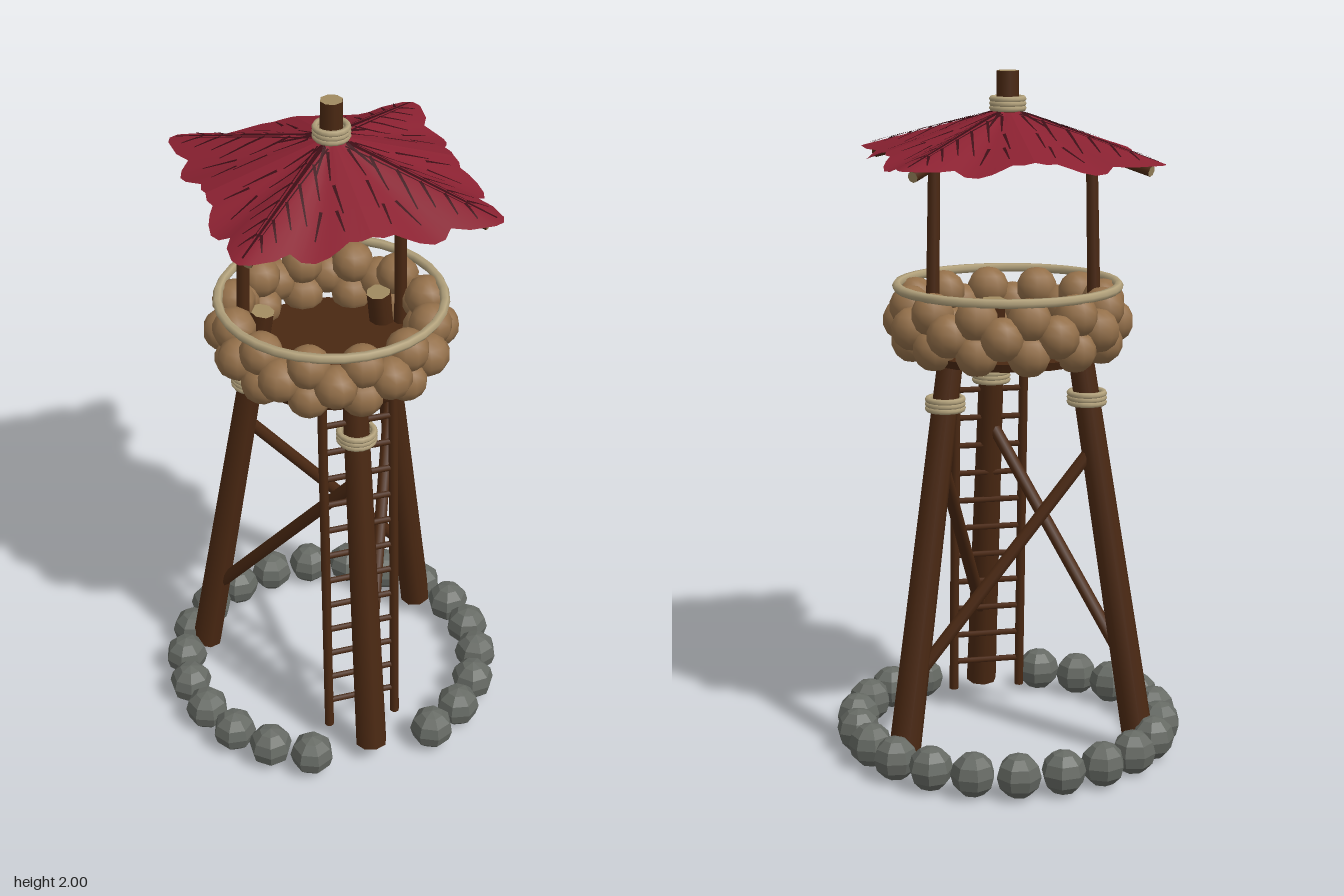
import * as THREE from 'three';

const mat = (name, color, extra = {}) => Object.assign(new THREE.MeshStandardMaterial({ color, ...extra }), { name });

export function createModel() {
  const wood = mat('dark wood', 0x4a2812);
  const cutWood = mat('cut wood', 0xa08a60);
  const rope = mat('rope', 0xb3a27c);
  const husk = mat('brown husk', 0x94704a);
  const stone = mat('grey stone', 0x666a64, { flatShading: true });
  const leafRed = mat('red leaf', 0x8a2131, { side: THREE.DoubleSide });
  const veinRed = mat('dark vein', 0x3c0d15, { side: THREE.DoubleSide });

  const model = new THREE.Group();
  model.name = 'watchtower';
  const tower = new THREE.Group();
  tower.name = 'tower';
  tower.position.set(-0.004, 0, 0.014);
  model.add(tower);

  const V = (x, y, z) => new THREE.Vector3(x, y, z);
  const add = (name, geo, material, parent = tower) => {
    const m = new THREE.Mesh(geo, material);
    m.name = name;
    parent.add(m);
    return m;
  };
  // Round pole between two points
  const rod = (name, a, b, rBottom, rTop, material, sides = 8) => {
    const d = b.clone().sub(a);
    const m = add(name, new THREE.CylinderGeometry(rTop, rBottom, d.length(), sides), material);
    m.position.copy(a).add(b).multiplyScalar(0.5);
    m.quaternion.setFromUnitVectors(V(0, 1, 0), d.normalize());
    return m;
  };
  // Three turns of rope around a pole
  const lashing = (name, pos, radius) => {
    for (let i = -1; i <= 1; i++) {
      const m = add(name, new THREE.TorusGeometry(radius, 0.009, 6, 16), rope);
      m.rotation.x = Math.PI / 2;
      m.position.set(pos.x, pos.y + i * 0.013, pos.z);
    }
  };
  const capped = [wood, cutWood, cutWood];

  // Three leaning legs; each has one brace rising to the next leg
  const legPoint = (k, y) => {
    const a = Math.PI / 2 + k * Math.PI * 2 / 3;
    const r = 0.405 - (y - 0.05) * 0.162;
    return V(-Math.cos(a) * r, y, Math.sin(a) * r);
  };
  for (let k = 0; k < 3; k++) {
    rod('leg', legPoint(k, 0.05), legPoint(k, 1.31), 0.047, 0.036, capped);
    lashing('legRope', legPoint(k, 1.073), 0.05);
    rod('brace', legPoint(k, 0.27), legPoint(k + 1, 0.93), 0.019, 0.019, wood);
  }

  // Ring of stones with a gap at the front
  const stoneGeo = new THREE.SphereGeometry(0.065, 7, 6);
  for (let i = 0; i < 22; i++) {
    if (i === 5 || i === 6) continue;
    const a = i * Math.PI * 2 / 22;
    const s = add('stone', stoneGeo, stone);
    s.position.set(Math.cos(a) * 0.455, 0.065, Math.sin(a) * 0.455);
    s.rotation.y = -a;
  }

  // Ladder
  const ladderZ = y => 0.303 - (y - 0.06) * 0.063;
  for (const x of [-0.1, 0.108])
    rod('ladderRail', V(x, 0.06, ladderZ(0.06)), V(x, 1.2, ladderZ(1.2)), 0.014, 0.014, wood);
  for (let i = 0; i < 12; i++) {
    const y = 0.15 + i * 0.088;
    rod('ladderRung', V(-0.1, y, ladderZ(y)), V(0.108, y, ladderZ(y)), 0.009, 0.009, wood, 6);
  }

  // Lookout basket: floor, staggered rows of husks, rope rim
  add('floor', new THREE.CylinderGeometry(0.28, 0.27, 0.024, 24), wood).position.y = 1.197;
  const huskGeo = new THREE.SphereGeometry(0.063, 10, 7);
  [[1.236, 0.28, 0], [1.285, 0.302, 0.5], [1.334, 0.284, 0]].forEach(([y, r, shift]) => {
    for (let i = 0; i < 12; i++) {
      const a = (i + shift) * Math.PI / 6;
      const h = add('husk', huskGeo, husk);
      h.position.set(Math.sin(a) * r, y, Math.cos(a) * r);
      h.rotation.y = a;
    }
  });
  const rim = add('basketRim', new THREE.TorusGeometry(0.32, 0.014, 6, 32), rope);
  rim.rotation.x = Math.PI / 2;
  rim.position.y = 1.388;

  // Roof posts, rafters and centre pole
  for (const s of [-1, 1])
    rod('roofPost', V(s * 0.238, 1.2, -0.084), V(s * 0.226, 1.8, -0.078), 0.02, 0.017, wood);
  for (let k = 0; k < 4; k++) {
    const a = Math.PI / 4 + k * Math.PI / 2;
    const c = Math.cos(a), s = Math.sin(a);
    rod('rafter', V(c * 0.02, 1.86, s * 0.02), V(c * 0.468, 1.744, s * 0.468), 0.018, 0.016, capped);
  }
  rod('centrePole', V(0, 1.8, 0), V(0, 2, 0), 0.034, 0.032, capped);
  lashing('poleRope', V(0, 1.908, 0), 0.045);

  // Leaf outline from midrib to valley: angle in degrees, radius, slope
  const outline = [
    [0, 0.51, 0.26], [3, 0.5, 0.265], [9, 0.452, 0.3], [12.5, 0.408, 0.33], [17, 0.418, 0.36],
    [22, 0.414, 0.37], [27, 0.396, 0.365], [31, 0.376, 0.355], [35, 0.354, 0.35], [40, 0.358, 0.345], [45, 0.352, 0.335],
  ];
  const slopeAt = deg => {
    const a = Math.min(45, Math.abs(deg));
    let i = 1;
    while (i < outline.length - 1 && outline[i][0] < a) i++;
    const [p, q] = [outline[i - 1], outline[i]];
    return THREE.MathUtils.lerp(p[2], q[2], (a - p[0]) / (q[0] - p[0]));
  };
  // Point on a leaf: u along its midrib, v across
  const onLeaf = (u, v, lift) => {
    const r = Math.hypot(u, v);
    return [u, 1.895 - slopeAt(THREE.MathUtils.radToDeg(Math.atan2(v, u))) * r + lift, v];
  };
  // Grid surface from rows of points
  const surface = rows => {
    const n = rows[0].length, index = [];
    for (let i = 0; i < rows.length - 1; i++)
      for (let j = 0; j < n - 1; j++) {
        const a = i * n + j, b = a + n;
        index.push(a, a + 1, b, b, a + 1, b + 1);
      }
    const g = new THREE.BufferGeometry();
    g.setAttribute('position', new THREE.Float32BufferAttribute(rows.flat(2), 3));
    g.setIndex(index);
    g.computeVertexNormals();
    return g;
  };
  const mirrored = [...outline.slice(1).reverse().map(([a, r]) => [-a, r]), ...outline];
  const leafGeo = surface([0.06, 0.35, 0.7, 1].map(t => mirrored.map(([deg, r]) => {
    const a = THREE.MathUtils.degToRad(deg);
    return onLeaf(Math.cos(a) * r * t, Math.sin(a) * r * t, 0);
  })).reverse());
  // Narrow tapering vein following the leaf
  const veinGeo = (u0, v0, u1, v1, w) => {
    const L = Math.hypot(u1 - u0, v1 - v0), nu = -(v1 - v0) / L, nv = (u1 - u0) / L;
    const rows = [];
    for (let i = 0; i <= 5; i++) {
      const t = i / 5, h = w * (1 - 0.6 * t) / 2;
      const u = u0 + (u1 - u0) * t, v = v0 + (v1 - v0) * t;
      rows.push([onLeaf(u + nu * h, v + nv * h, 0.005), onLeaf(u - nu * h, v - nv * h, 0.005)]);
    }
    return surface(rows.reverse());
  };
  const sideVeins = [
    [0.05, 0.006, 0.16, 0.035], [0.06, 0.02, 0.14, 0.07], [0.12, 0.01, 0.21, 0.075], [0.15, 0.085, 0.22, 0.15],
    [0.2, 0.01, 0.3, 0.085], [0.24, 0.095, 0.33, 0.125], [0.27, 0.01, 0.34, 0.06],
    [0.34, 0.008, 0.4, 0.05], [0.4, 0.006, 0.45, 0.035], [0.22, 0.13, 0.27, 0.18],
  ];
  const veins = [veinGeo(0.04, 0, 0.49, 0, 0.014)];
  for (const s of [-1, 1]) {
    veins.push(veinGeo(0.05, s * 0.016, 0.42, s * 0.009, 0.005));
    for (const [a, b, c, d] of sideVeins) veins.push(veinGeo(a, s * b, c, s * d, 0.009));
  }
  for (let k = 0; k < 4; k++) {
    const leaf = new THREE.Group();
    leaf.name = 'roofLeaf';
    leaf.rotation.y = Math.PI / 4 + k * Math.PI / 2;
    tower.add(leaf);
    add('leafBlade', leafGeo, leafRed, leaf);
    veins.forEach(g => add('leafVein', g, veinRed, leaf));
  }
  return model;
}
